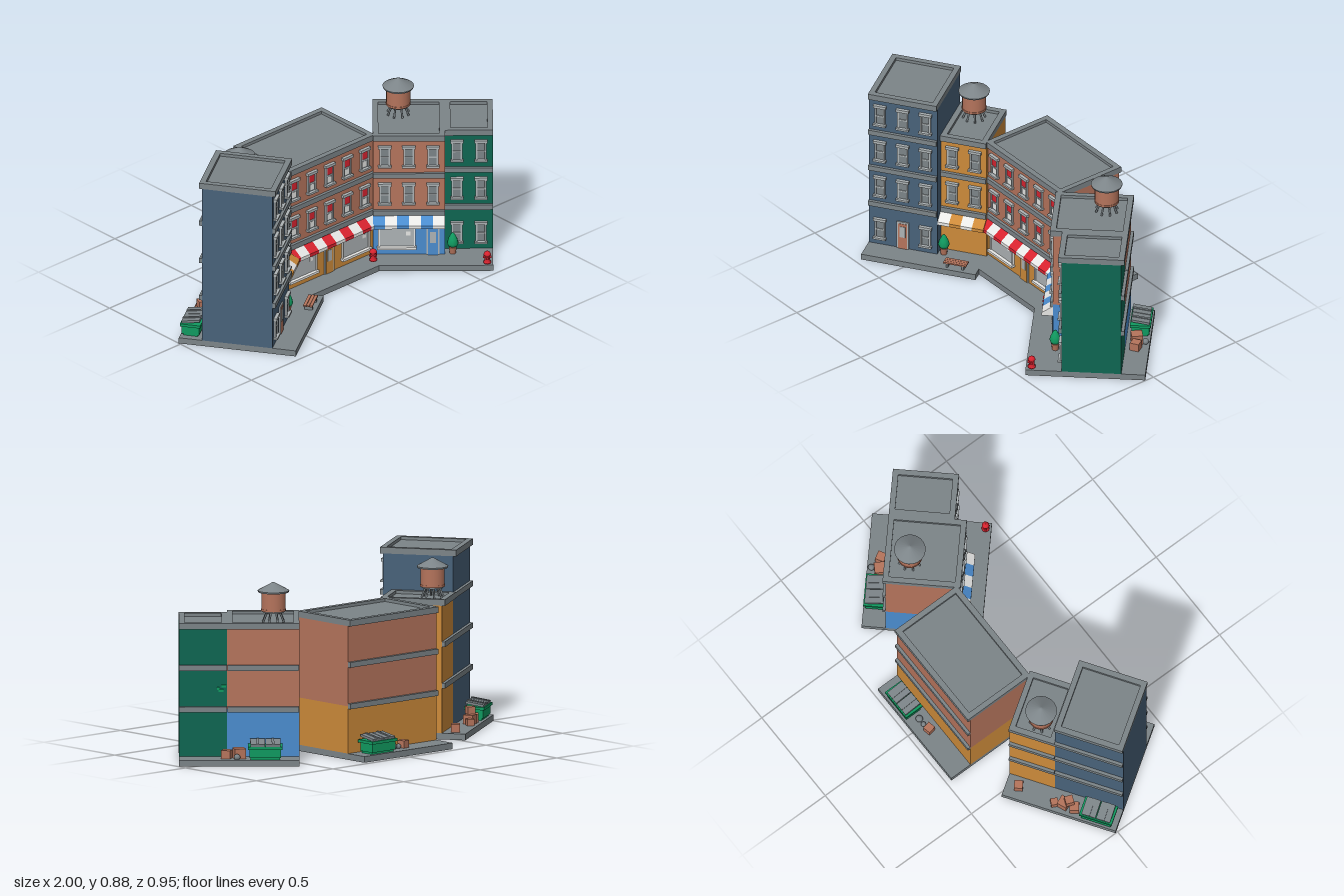
import * as THREE from 'three';

const paint = (name, color) => {
  const m = new THREE.MeshStandardMaterial({ color });
  m.name = name;
  return m;
};
const brick = paint('brick', 0xb5745c), ochre = paint('ochre', 0xcc8a3a), darkGreen = paint('darkGreen', 0x0f6652),
  shopBlue = paint('shopBlue', 0x4a8ccf), slate = paint('slate', 0x48627a), grey = paint('concreteGrey', 0x7c8488),
  red = paint('red', 0xd8232f), white = paint('white', 0xe8e8e6), leaf = paint('brightGreen', 0x109a60),
  pale = paint('paleGrey', 0xadb3b5);

const SIDE = 0.577, HALF = SIDE / 2, BAY = SIDE / 5; // plot size and facade bay
const BACK = -0.173, FULL = 0.173, SET = 0.115;      // wall planes
const FLOORS = [0.03, 0.26, 0.462, 0.665, 0.868];    // storey levels

function add(parent, name, geo, mat, x = 0, y = 0, z = 0) {
  const m = new THREE.Mesh(geo, mat);
  m.name = name;
  m.position.set(x, y, z);
  parent.add(m);
  return m;
}
const box = (p, name, mat, w, h, d, x, y, z) => add(p, name, new THREE.BoxGeometry(w, h, d), mat, x, y, z);
const cyl = (p, name, mat, rt, rb, h, n, x, y, z) => add(p, name, new THREE.CylinderGeometry(rt, rb, h, n), mat, x, y, z);
function group(parent, name, x = 0, y = 0, z = 0) {
  const g = new THREE.Group();
  g.name = name;
  g.position.set(x, y, z);
  parent.add(g);
  return g;
}

// Sash window with lintel and sill; y is its bottom, z the wall plane
function sashWindow(parent, x, y, z, blind) {
  const g = group(parent, 'window', x, y, z);
  box(g, 'pane', grey, 0.04, 0.1, 0.006, 0, 0.055, 0.001);
  box(g, 'lintel', pale, 0.064, 0.014, 0.024, 0, 0.106, 0.004);
  box(g, 'sill', pale, 0.064, 0.01, 0.028, 0, 0.003, 0.006);
  for (const s of [-1, 1]) box(g, 'jamb', pale, 0.008, 0.1, 0.016, s * 0.022, 0.055, 0.002);
  box(g, 'sashBar', pale, 0.04, 0.007, 0.012, 0, 0.052, 0.002);
  if (blind) {
    box(g, 'blind', red, 0.036, 0.044, 0.004, 0, 0.077, 0.004);
    box(g, 'lowerPane', white, 0.026, 0.03, 0.004, 0, 0.028, 0.003);
  }
}

function door(parent, x, z, mat) {
  const g = group(parent, 'door', x, 0.03, z);
  box(g, 'doorFrame', pale, 0.062, 0.15, 0.012, 0, 0.075, 0);
  box(g, 'doorLeaf', mat, 0.046, 0.14, 0.016, 0, 0.07, 0);
  box(g, 'doorGlass', pale, 0.028, 0.06, 0.02, 0, 0.095, 0);
}

function shopWindow(parent, x, z, trim) {
  const g = group(parent, 'shopWindow', x, 0.125, z);
  box(g, 'glass', pale, 0.165, 0.1, 0.006, 0, 0, 0.001);
  box(g, 'shopSill', white, 0.19, 0.012, 0.03, 0, -0.055, 0.006);
  box(g, 'shopHead', trim, 0.18, 0.008, 0.016, 0, 0.052, 0.002);
  for (const s of [-1, 1]) box(g, 'shopJamb', white, 0.008, 0.11, 0.016, s * 0.086, 0, 0.002);
  box(g, 'shopSign', white, 0.02, 0.02, 0.004, 0.055, 0.02, 0.003);
}

// Striped awning, one solid wedge per stripe
function awning(parent, x0, bays, z, colours) {
  const s = new THREE.Shape([[0, 0.25], [0.055, 0.212], [0.055, 0.195], [0, 0.195]].map(p => new THREE.Vector2(...p)));
  const geo = new THREE.ExtrudeGeometry(s, { depth: BAY / 2, bevelEnabled: false }).rotateY(-Math.PI / 2);
  geo.translate(BAY / 2, 0, 0);
  const g = group(parent, 'awning', x0, 0, z);
  for (let i = 0; i < bays * 2; i++) add(g, 'awningStripe', geo, colours[i % 2], i * BAY / 2, 0, 0);
}

// Row house: walls, string courses, parapet roof and upper windows
function house(parent, name, x0, bays, front, storeys, wall, shopWall, blinds = false) {
  const g = group(parent, name);
  const w = bays * BAY, cx = x0 + w / 2, d = front - BACK, cz = (front + BACK) / 2, top = FLOORS[storeys];
  box(g, 'groundWall', shopWall, w, 0.23, d, cx, 0.145, cz);
  box(g, 'upperWall', wall, w, top - 0.275, d, cx, (top - 0.015 + 0.26) / 2, cz);
  for (let i = 1; i < storeys; i++) box(g, 'stringCourse', grey, w - 0.002, 0.026, d + 0.03, cx, FLOORS[i], cz);
  const rect = (T, hw, hd) => new T([[-hw, -hd], [hw, -hd], [hw, hd], [-hw, hd]].map(p => new THREE.Vector2(...p)));
  const rim = rect(THREE.Shape, w / 2, d / 2 + 0.015);
  rim.holes.push(rect(THREE.Path, w / 2 - 0.027, d / 2 - 0.013));
  const rimGeo = new THREE.ExtrudeGeometry(rim, { depth: 0.03, bevelEnabled: false }).rotateX(-Math.PI / 2);
  add(g, 'parapet', rimGeo, grey, cx, top - 0.015, cz);
  box(g, 'roofDeck', grey, w - 0.04, 0.014, d - 0.01, cx, top - 0.007, cz);
  for (let f = 1; f < storeys; f++)
    for (let i = 0; i < bays; i++) sashWindow(g, x0 + (i + 0.5) * BAY, FLOORS[f] + 0.046, front, blinds);
  return g;
}

function waterTower(parent, x, z) {
  const g = group(parent, 'waterTower', x, 0.668, z);
  for (let i = 0; i < 8; i++) {
    const leg = group(g, 'towerLeg');
    leg.rotation.y = (i + 0.5) * Math.PI / 4;
    cyl(leg, 'strut', grey, 0.005, 0.005, 0.062, 6, 0.042, 0.028, 0).rotation.z = 0.4;
  }
  cyl(g, 'towerPlatform', grey, 0.052, 0.052, 0.008, 20, 0, 0.05, 0);
  cyl(g, 'tank', brick, 0.058, 0.058, 0.095, 20, 0, 0.1, 0);
  cyl(g, 'tankBand', brick, 0.06, 0.06, 0.01, 20, 0, 0.058, 0);
  cyl(g, 'tankRoof', grey, 0.004, 0.076, 0.04, 20, 0, 0.172, 0);
  cyl(g, 'roofLip', grey, 0.076, 0.074, 0.008, 20, 0, 0.148, 0);
}

function dumpster(parent, x, z) {
  const g = group(parent, 'dumpster', x, 0.03, z);
  box(g, 'binFoot', leaf, 0.14, 0.012, 0.07, 0, 0.006, 0);
  box(g, 'binBody', leaf, 0.15, 0.045, 0.085, 0, 0.032, 0);
  box(g, 'binRim', leaf, 0.165, 0.014, 0.1, 0, 0.058, 0);
  for (const s of [-1, 1]) {
    box(g, 'binLid', grey, 0.07, 0.012, 0.09, s * 0.037, 0.077, 0).rotation.x = -0.16;
    box(g, 'lidRib', grey, 0.012, 0.016, 0.09, s * 0.037, 0.079, 0).rotation.x = -0.16;
  }
}

// Each crate: x, z, size, turn, lift
function crates(parent, list) {
  for (const [x, z, s, turn, lift = 0] of list)
    box(parent, 'crate', brick, s, s * 0.9, s, x, 0.03 + lift + s * 0.45, z).rotation.y = turn;
}

function pottedTree(parent, x, z) {
  const g = group(parent, 'pottedTree', x, 0.03, z);
  cyl(g, 'pot', brick, 0.02, 0.015, 0.035, 10, 0, 0.0175, 0);
  const pts = [[0, 0.033], [0.022, 0.04], [0.028, 0.055], [0.022, 0.078], [0.01, 0.102], [0, 0.112]];
  add(g, 'foliage', new THREE.LatheGeometry(pts.map(p => new THREE.Vector2(...p)), 10), leaf);
}

function hydrant(parent, x, z) {
  const g = group(parent, 'hydrant', x, 0.03, z);
  const pts = [[0, 0], [0.019, 0], [0.019, 0.007], [0.013, 0.009], [0.013, 0.04], [0.018, 0.042], [0.018, 0.047],
    [0.014, 0.055], [0.006, 0.061], [0, 0.064]];
  add(g, 'hydrantBody', new THREE.LatheGeometry(pts.map(p => new THREE.Vector2(...p)), 12), red);
  cyl(g, 'sideOutlet', red, 0.006, 0.006, 0.042, 8, 0, 0.03, 0).rotation.z = Math.PI / 2;
  cyl(g, 'frontOutlet', red, 0.007, 0.007, 0.02, 8, 0, 0.03, 0.01).rotation.x = Math.PI / 2;
}

function bench(parent, x, z) {
  const g = group(parent, 'bench', x, 0.03, z);
  for (const i of [-1, 0, 1]) box(g, 'benchSlat', brick, 0.115, 0.007, 0.014, 0, 0.025, i * 0.0155);
  for (const s of [-1, 1]) box(g, 'benchLeg', grey, 0.01, 0.022, 0.04, s * 0.04, 0.011, 0);
}

function plot(parent, name, x, z, turn) {
  const g = group(parent, name, x, 0, z);
  g.rotation.y = turn;
  box(g, 'pavement', grey, SIDE, 0.03, SIDE, 0, 0.015, 0);
  return g;
}

export function createModel() {
  const model = new THREE.Group();
  model.name = 'cityStreet';
  const split = -HALF + 3 * BAY;

  // Left plot: tall slate house and narrow ochre house
  const left = plot(model, 'leftPlot', -0.6, 0.068, 0.588);
  const tall = house(left, 'tallHouse', -HALF, 3, FULL, 4, slate, slate);
  for (const i of [0.5, 2.5]) sashWindow(tall, -HALF + i * BAY, 0.065, FULL);
  door(tall, -HALF + 1.5 * BAY, FULL, brick);
  house(left, 'ochreHouse', split, 2, SET, 3, ochre, ochre);
  awning(left, split, 2, SET, [white, ochre]);
  waterTower(left, 0.155, -0.095);
  dumpster(left, -0.185, -0.238);
  crates(left, [[-0.065, -0.245, 0.045, 0.3], [-0.01, -0.24, 0.05, -0.2], [-0.035, -0.235, 0.04, 0.6, 0.045],
    [0.035, -0.25, 0.035, 0.5], [0.225, -0.225, 0.042, 0.25]]);
  pottedTree(left, 0.086, 0.158);
  bench(left, 0.178, 0.25);

  // Middle plot: wide brick house over an ochre shop
  const mid = plot(model, 'middlePlot', -0.0185, -0.185, 0);
  const wide = house(mid, 'wideHouse', -HALF, 5, FULL, 3, brick, ochre, true);
  for (const s of [-1, 1]) shopWindow(wide, s * 1.5 * BAY, FULL, red);
  door(wide, 0, FULL, ochre);
  awning(mid, -HALF, 5, FULL, [red, white]);
  dumpster(mid, 0.153, -0.237);
  crates(mid, [[-0.027, -0.222, 0.04, 0.2]]);
  for (const [x, r] of [[0.01, 0.013], [0.043, 0.018]])
    add(mid, 'rubbishBag', new THREE.IcosahedronGeometry(r, 1), grey, x, 0.03 + r * 0.8, -0.228);
  hydrant(mid, 0.24, 0.228);

  // Right plot: brick house over a blue shop, and narrow green house
  const right = plot(model, 'rightPlot', 0.59, 0.066, -0.742);
  const corner = house(right, 'blueShopHouse', -HALF, 3, FULL, 3, brick, shopBlue);
  shopWindow(corner, -HALF + BAY, FULL, white);
  door(corner, -HALF + 2.5 * BAY, FULL, shopBlue);
  awning(right, -HALF, 3, FULL, [shopBlue, white]);
  const green = house(right, 'greenHouse', split, 2, SET, 3, darkGreen, darkGreen);
  for (const i of [0.5, 1.5]) sashWindow(green, split + i * BAY, 0.065, SET);
  for (const [x, y, w] of [[0.074, 0.372, 0.02], [0.086, 0.35, 0.024], [0.1, 0.36, 0.012]])
    box(green, 'wallIvy', leaf, w, 0.014, 0.008, x, y, BACK);
  waterTower(right, -0.165, -0.067);
  dumpster(right, -0.125, -0.238);
  crates(right, [[0.0, -0.225, 0.055, 0.2], [0.06, -0.225, 0.045, -0.3]]);
  add(right, 'rubbishBag', new THREE.IcosahedronGeometry(0.016, 1), grey, 0.01, 0.042, -0.268);
  pottedTree(right, 0.095, 0.16);
  hydrant(right, 0.26, 0.26);
  return model;
}
